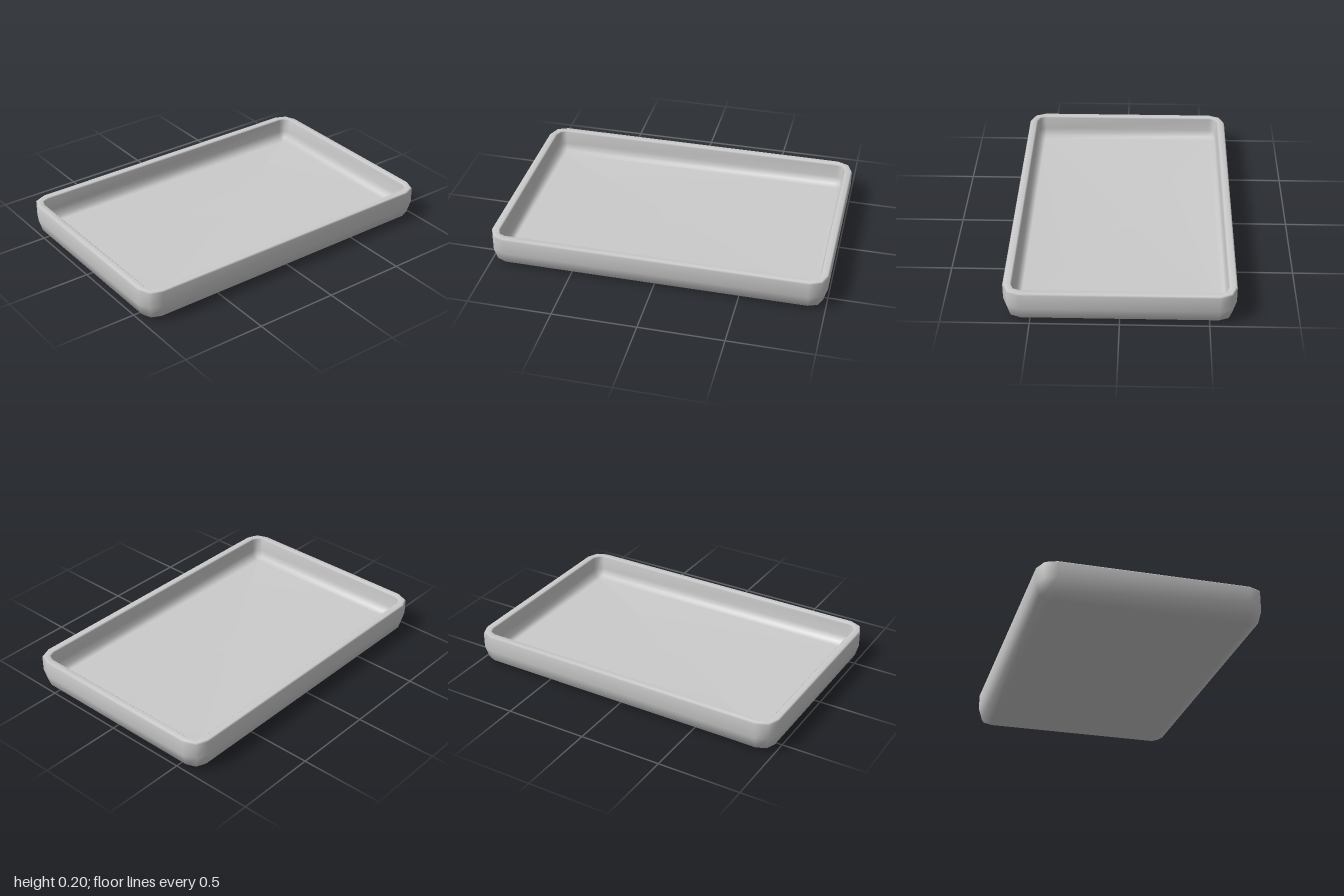
import * as THREE from 'three';

const HALF_X = 1, HALF_Z = 0.65, RADIUS = 0.1, CORNER_STEPS = 2;

// Rounded-rectangle loop, shrunk by an inset, at height y
function ring(inset, y) {
  const points = [];
  const r = Math.max(RADIUS - inset, 0.008);
  const cx = HALF_X - inset - r, cz = HALF_Z - inset - r;
  [[1, 1], [-1, 1], [-1, -1], [1, -1]].forEach(([sx, sz], corner) => {
    for (let k = 0; k <= CORNER_STEPS; k++) {
      const a = (corner + k / CORNER_STEPS) * Math.PI / 2;
      points.push([sx * cx + r * Math.cos(a), y, sz * cz + r * Math.sin(a)]);
    }
  });
  return points;
}

// Closed shell through a wall profile of [inset, y], capped at both ends
function shell(profile) {
  const rings = profile.map(([inset, y]) => ring(inset, y));
  const n = rings[0].length, last = (rings.length - 1) * n;
  const bottom = rings.length * n, floor = bottom + 1;
  const positions = [...rings.flat(2), 0, profile[0][1], 0, 0, profile.at(-1)[1], 0];
  const index = [];
  for (let j = 0; j < n; j++) {
    const next = (j + 1) % n;
    for (let i = 0; i < rings.length - 1; i++) {
      const a = i * n + j, b = i * n + next, c = a + n, d = b + n;
      index.push(a, c, b, b, c, d);
    }
    index.push(bottom, j, next, floor, last + next, last + j);
  }
  const geometry = new THREE.BufferGeometry();
  geometry.setAttribute('position', new THREE.Float32BufferAttribute(positions, 3));
  geometry.setIndex(index);
  geometry.computeVertexNormals();
  return geometry;
}

export function createModel() {
  const group = new THREE.Group();
  group.name = 'tray';

  // Underside, outer wall, softened rim, inner wall and floor
  const profile = [
    [0.08, 0], [0.022, 0.025], [0, 0.1], [0, 0.192], [0.008, 0.2],
    [0.042, 0.2], [0.05, 0.192], [0.05, 0.11], [0.062, 0.065], [0.092, 0.05],
  ];
  const material = new THREE.MeshStandardMaterial({ color: 0xcccccc });
  const body = new THREE.Mesh(shell(profile), material);
  body.name = 'trayBody';
  group.add(body);
  return group;
}
